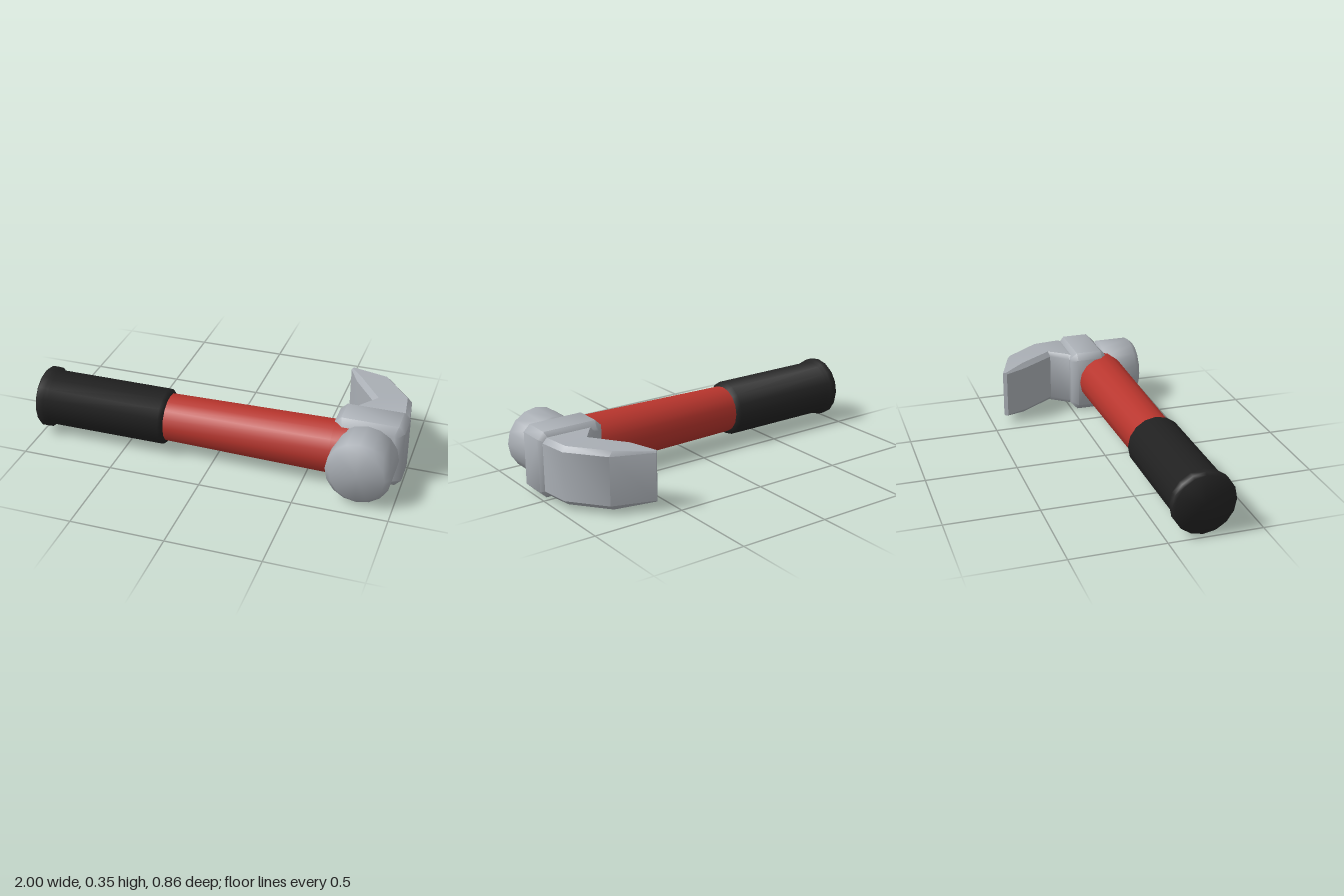
import * as THREE from 'three';
import { toCreasedNormals } from 'three/addons/utils/BufferGeometryUtils.js';

const CY = 0.18; // height of the hammer's centre line
const HANDLE_Z = 0.187;
const HEAD_X = 0.813;
const CREASE = 0.9;

const material = (name, color) => {
  const m = new THREE.MeshStandardMaterial({ color });
  m.name = name;
  return m;
};

// Closed solid of revolution from [radius, height] pairs
function turned(profile) {
  const first = profile[0][1];
  const last = profile[profile.length - 1][1];
  const points = [[0, first], ...profile, [0, last]].map(([r, h]) => new THREE.Vector2(r, h));
  return toCreasedNormals(new THREE.LatheGeometry(points, 16), CREASE);
}

// Box with all edges cut at 45 degrees
function chamferedBox(w, h, d, c) {
  const x = w / 2;
  const y = h / 2;
  const shape = new THREE.Shape([
    [x, -y + c], [x, y - c], [x - c, y], [-x + c, y],
    [-x, y - c], [-x, -y + c], [-x + c, -y], [x - c, -y],
  ].map(([a, b]) => new THREE.Vector2(a, b)));
  const geometry = new THREE.ExtrudeGeometry(shape, {
    depth: d - 2 * c, bevelEnabled: true, bevelSegments: 1,
    bevelSize: c, bevelThickness: c, bevelOffset: -c,
  });
  geometry.translate(0, 0, c - d / 2);
  return toCreasedNormals(geometry, CREASE);
}

// Curved claw: chamfered cross-sections between an outer and an inner line
function clawGeometry() {
  // outer x, outer z, inner x, inner z, half height
  const sections = [
    [0.975, 0.03, 0.66, 0.03, 0.145],
    [0.99, 0.0, 0.695, -0.005, 0.155],
    [0.97, -0.16, 0.775, -0.1, 0.155],
    [0.82, -0.35, 0.64, -0.29, 0.155],
    [0.6, -0.43, 0.583, -0.41, 0.135],
  ];
  const positions = [];
  const index = [];
  for (const [ox, oz, ix, iz, h] of sections) {
    const width = Math.hypot(ox - ix, oz - iz);
    const c = Math.min(0.025, width * 0.3);
    const t = c / width;
    const ring = [
      [1, -h + c], [1, h - c], [1 - t, h], [t, h],
      [0, h - c], [0, -h + c], [t, -h], [1 - t, -h],
    ];
    for (const [s, y] of ring) positions.push(ix + (ox - ix) * s, CY + y, iz + (oz - iz) * s);
  }
  const end = (sections.length - 1) * 8;
  for (let i = 0; i < end; i += 8) {
    for (let j = 0; j < 8; j++) {
      const k = (j + 1) % 8;
      index.push(i + j, i + 8 + j, i + k, i + k, i + 8 + j, i + 8 + k);
    }
  }
  for (let j = 1; j < 7; j++) index.push(0, j, j + 1, end, end + j + 1, end + j);
  const geometry = new THREE.BufferGeometry();
  geometry.setAttribute('position', new THREE.Float32BufferAttribute(positions, 3));
  geometry.setIndex(index);
  return toCreasedNormals(geometry, 0.7);
}

export function createModel() {
  const hammer = new THREE.Group();
  hammer.name = 'hammer';
  const steel = material('steel', 0xa9aeb4);
  const red = material('red handle', 0xb8352d);
  const black = material('black rubber', 0x222222);

  const add = (name, geometry, mat) => {
    const mesh = new THREE.Mesh(geometry, mat);
    mesh.name = name;
    hammer.add(mesh);
    return mesh;
  };

  // Rubber grip with a flared butt
  const grip = add('grip', turned([
    [0.155, -1], [0.168, -0.987], [0.168, -0.95], [0.153, -0.935],
    [0.153, -0.29], [0.132, -0.268],
  ]), black);
  // Shaft, widening slightly toward the head
  const shaft = add('shaft', turned([[0.13, -0.3], [0.144, 0.64], [0.144, 0.76]]), red);
  for (const part of [grip, shaft]) {
    part.rotation.z = -Math.PI / 2;
    part.position.set(0, CY, HANDLE_Z);
  }

  // Striking face
  const striker = add('striker', turned([
    [0.14, 0.18], [0.172, 0.217], [0.172, 0.4], [0.142, 0.43],
  ]), steel);
  striker.rotation.x = Math.PI / 2;
  striker.position.set(HEAD_X, CY, 0);

  // Block that holds the shaft
  add('headBlock', chamferedBox(0.37, 0.355, 0.215, 0.035), steel)
    .position.set(0.815, 0.1775, 0.1075);

  add('claw', clawGeometry(), steel);
  return hammer;
}
